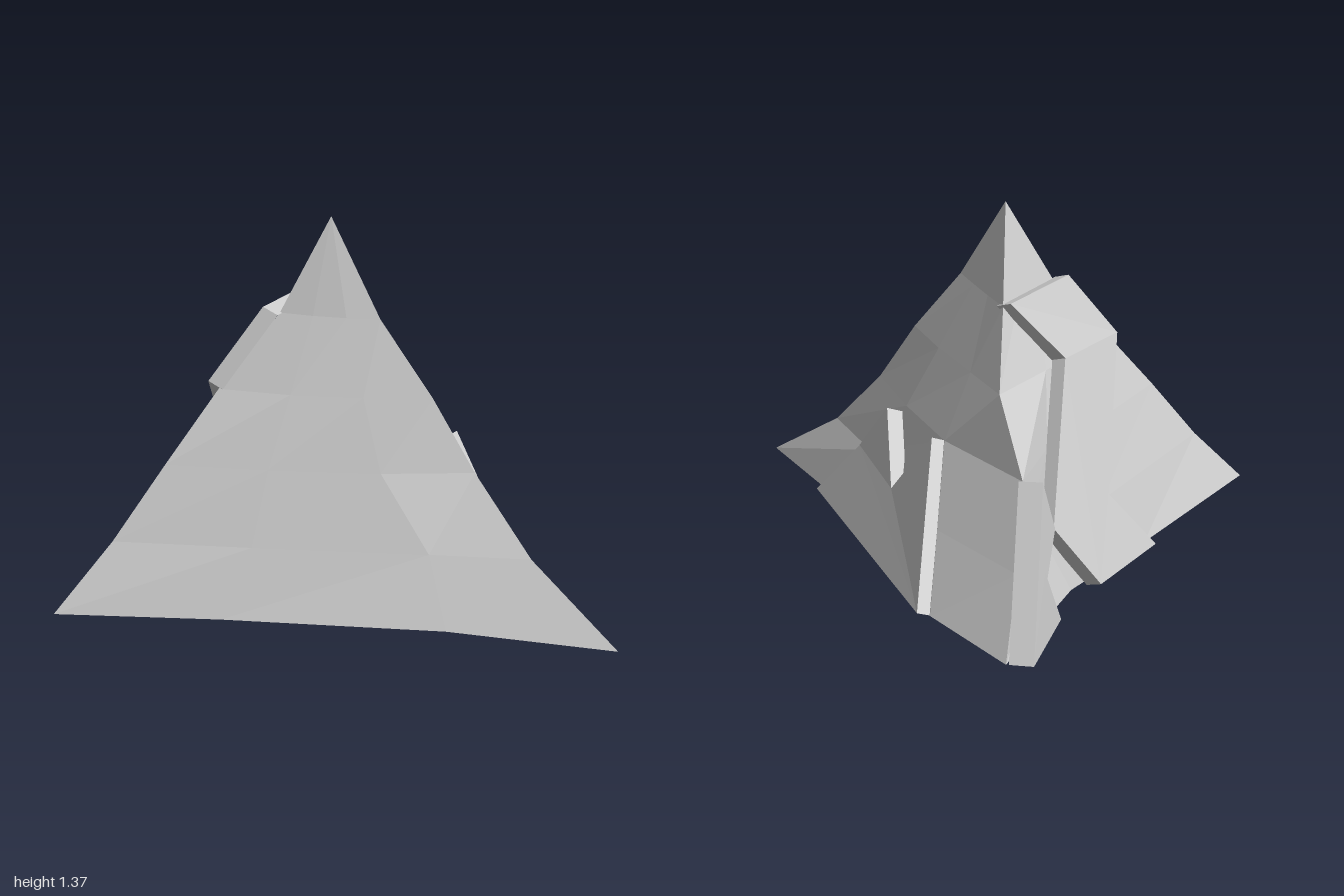
import * as THREE from 'three';

const material = new THREE.MeshStandardMaterial({ color: 0xcccccc, flatShading: true });

function facetMesh(name, triangles) {
  const geometry = new THREE.BufferGeometry().setFromPoints(triangles);
  geometry.computeVertexNormals();
  const mesh = new THREE.Mesh(geometry, material);
  mesh.name = name;
  return mesh;
}

// Pyramid core: each level lists [x, z] around the three sides, counter-clockwise from above
// (left corner, front x2, right corner, right face x2, back corner, left face x2)
const levels = [
  [0.02, [[-1, 0.79], [-0.4, 0.77], [0.4, 0.775], [1, 0.85], [0.7, 0.46], [0.14, -0.53], [-0.17, -0.84], [-0.36, -0.28], [-0.62, 0.14]]],
  [0.26, [[-0.8, 0.67], [-0.3, 0.67], [0.33, 0.66], [0.69, 0.66], [0.5, 0.36], [0.14, -0.31], [-0.185, -0.62], [-0.25, -0.32], [-0.46, 0.02]]],
  [0.52, [[-0.62, 0.56], [-0.25, 0.57], [0.15, 0.56], [0.48, 0.52], [0.33, 0.23], [0.14, -0.08], [-0.185, -0.4], [-0.25, -0.11], [-0.45, 0.22]]],
  [0.77, [[-0.44, 0.44], [-0.18, 0.47], [0.08, 0.47], [0.325, 0.455], [0.2, 0.23], [0.05, 0], [-0.08, -0.2], [-0.23, 0.05], [-0.34, 0.25]]],
  [1.03, [[-0.23, 0.34], [-0.11, 0.36], [0.01, 0.37], [0.13, 0.37], [0.065, 0.25], [0, 0.135], [-0.07, 0.02], [-0.12, 0.12], [-0.175, 0.23]]],
];

function createCore() {
  const rings = levels.map(([y, pts]) => pts.map(([x, z]) => new THREE.Vector3(x, y, z)));
  const apex = new THREE.Vector3(-0.055, 1.365, 0.25);
  const base = new THREE.Vector3(0.1, 0, 0);
  const tris = [];
  const n = rings[0].length;
  for (let i = 0; i < n; i++) {
    const j = (i + 1) % n;
    tris.push(base, rings[0][j], rings[0][i]);
    for (let k = 0; k < rings.length - 1; k++) {
      const [a, b, c, d] = [rings[k][i], rings[k][j], rings[k + 1][j], rings[k + 1][i]];
      tris.push(a, b, c, a, c, d);
    }
    const top = rings[rings.length - 1];
    tris.push(top[i], top[j], apex);
  }
  return facetMesh('rockCore', tris);
}

// Raised slab: an outer outline with walls running inward along the given offset
function createSlab(name, outline, offset) {
  const inward = new THREE.Vector3(...offset);
  let pts = outline.map((p) => new THREE.Vector3(...p));
  const normal = new THREE.Vector3();
  pts.forEach((p, i) => normal.add(p.clone().cross(pts[(i + 1) % pts.length])));
  if (normal.dot(inward) > 0) pts = pts.reverse();
  const tris = [];
  const flat = pts.map((p) => new THREE.Vector2(p.z, p.y));
  for (const [i, j, k] of THREE.ShapeUtils.triangulateShape(flat, [])) {
    const [a, b, c] = [pts[i], pts[j], pts[k]];
    const facing = b.clone().sub(a).cross(c.clone().sub(a)).dot(inward);
    tris.push(...(facing < 0 ? [a, b, c] : [a, c, b]));
  }
  pts.forEach((a, i) => {
    const b = pts[(i + 1) % pts.length];
    const a2 = a.clone().add(inward);
    const b2 = b.clone().add(inward);
    tris.push(a, a2, b2, a, b2, b);
  });
  return facetMesh(name, tris);
}

export function createModel() {
  const group = new THREE.Group();
  group.name = 'pyramidRock';
  group.add(createCore());

  // Notched slab low on the +x face
  group.add(createSlab('sideSlab', [
    [0.74, 0.04, 0.43], [0.54, 0.29, 0.34], [0.4, 0.525, 0.19],
    [0.36, 0.27, 0], [0.185, 0.54, -0.1], [0.185, 0.04, -0.55],
  ], [-0.055, -0.025, 0.03]));

  // Tall zigzag slab running down the -x face
  group.add(createSlab('zigzagSlab', [
    [-0.29, 1.05, 0.34], [-0.48, 0.79, 0.42], [-0.48, 0.29, 0], [-0.665, 0.03, 0.11],
    [-0.47, 0.03, -0.24], [-0.295, 0.3, -0.33], [-0.3, 0.81, 0.08], [-0.1, 1.05, 0],
  ], [0.055, -0.02, 0.025]));

  // Slab overhanging the lower back ridge
  group.add(createSlab('ridgeSlab', [
    [-0.26, 0.53, -0.42], [-0.3, 0.3, -0.33], [-0.29, 0.29, -0.65],
    [-0.34, 0.03, -0.52], [-0.27, 0.03, -0.86],
  ], [0.09, -0.01, 0.02]));

  return group;
}
